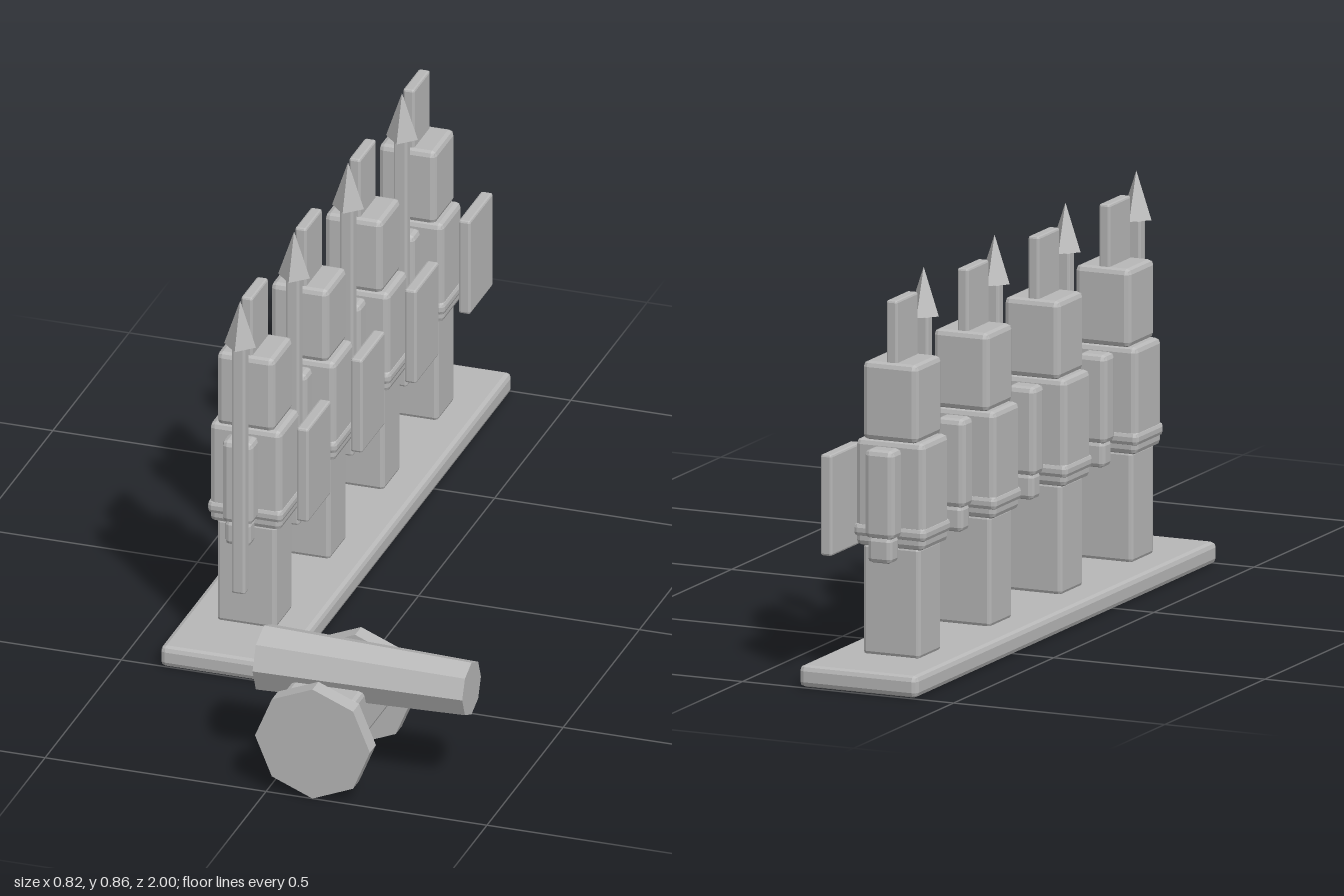
import * as THREE from 'three';
import { RoundedBoxGeometry } from 'three/addons/geometries/RoundedBoxGeometry.js';

const stone = new THREE.MeshStandardMaterial({ color: 0xb8b8b8, flatShading: true });
stone.name = 'plain grey';

function add(parent, name, geometry, x, y, z) {
  const mesh = new THREE.Mesh(geometry, stone);
  mesh.name = name;
  mesh.position.set(x, y, z);
  parent.add(mesh);
  return mesh;
}

// Chamfered block standing on height y0 and ending at y1
function block(parent, name, w, d, y0, y1, x, z, bevel = 0.012) {
  return add(parent, name, new RoundedBoxGeometry(w, y1 - y0, d, 1, bevel), x, (y0 + y1) / 2, z);
}

function makeSoldier() {
  const soldier = new THREE.Group();
  soldier.name = 'soldier';
  block(soldier, 'legs', 0.134, 0.112, 0.046, 0.29, 0, 0, 0.008);
  block(soldier, 'torso', 0.162, 0.13, 0.285, 0.52, 0, 0);
  block(soldier, 'belt', 0.17, 0.138, 0.305, 0.335, 0, 0, 0.01);
  block(soldier, 'head', 0.13, 0.13, 0.518, 0.69, 0, 0);
  block(soldier, 'crest', 0.026, 0.107, 0.67, 0.826, 0, 0, 0.005);

  // Arms and hands on the front and back of the torso
  for (const side of [1, -1]) {
    block(soldier, 'arm', 0.069, 0.054, 0.315, 0.51, 0, side * 0.094);
    block(soldier, 'hand', 0.057, 0.045, 0.262, 0.32, 0, side * 0.095, 0.01);
  }

  // Spear held at the front
  block(soldier, 'spearShaft', 0.031, 0.028, 0.167, 0.757, 0.015, 0.139, 0.005);
  add(soldier, 'spearTip', new THREE.ConeGeometry(0.036, 0.106, 4), 0.015, 0.808, 0.139);

  // Shield at the left side
  block(soldier, 'shield', 0.027, 0.152, 0.278, 0.5, 0.104, -0.086, 0.005);
  return soldier;
}

function makeCannon() {
  const cannon = new THREE.Group();
  cannon.name = 'cannon';
  cannon.position.set(0.105, 0, 0.84);

  // Eight-sided barrel, narrowing towards +x
  const barrel = new THREE.CylinderGeometry(0.0615, 0.075, 0.47, 8).rotateZ(-Math.PI / 2);
  add(cannon, 'barrel', barrel, 0.07, 0.237, 0);
  block(cannon, 'carriage', 0.165, 0.235, 0.107, 0.222, 0, 0);

  const wheel = new THREE.CylinderGeometry(0.13, 0.13, 0.04, 8).rotateX(Math.PI / 2);
  for (const side of [1, -1]) add(cannon, 'wheel', wheel, 0, 0.13, side * 0.14);
  return cannon;
}

export function createModel() {
  const model = new THREE.Group();
  model.name = 'soldierRowAndCannon';
  block(model, 'base', 0.28, 1.505, 0, 0.048, -0.272, -0.2475);

  // Four soldiers in a file
  for (let i = 0; i < 4; i++) {
    const soldier = makeSoldier();
    soldier.position.set(-0.272, 0, 0.286 - i * 0.354);
    model.add(soldier);
  }
  model.add(makeCannon());
  return model;
}
